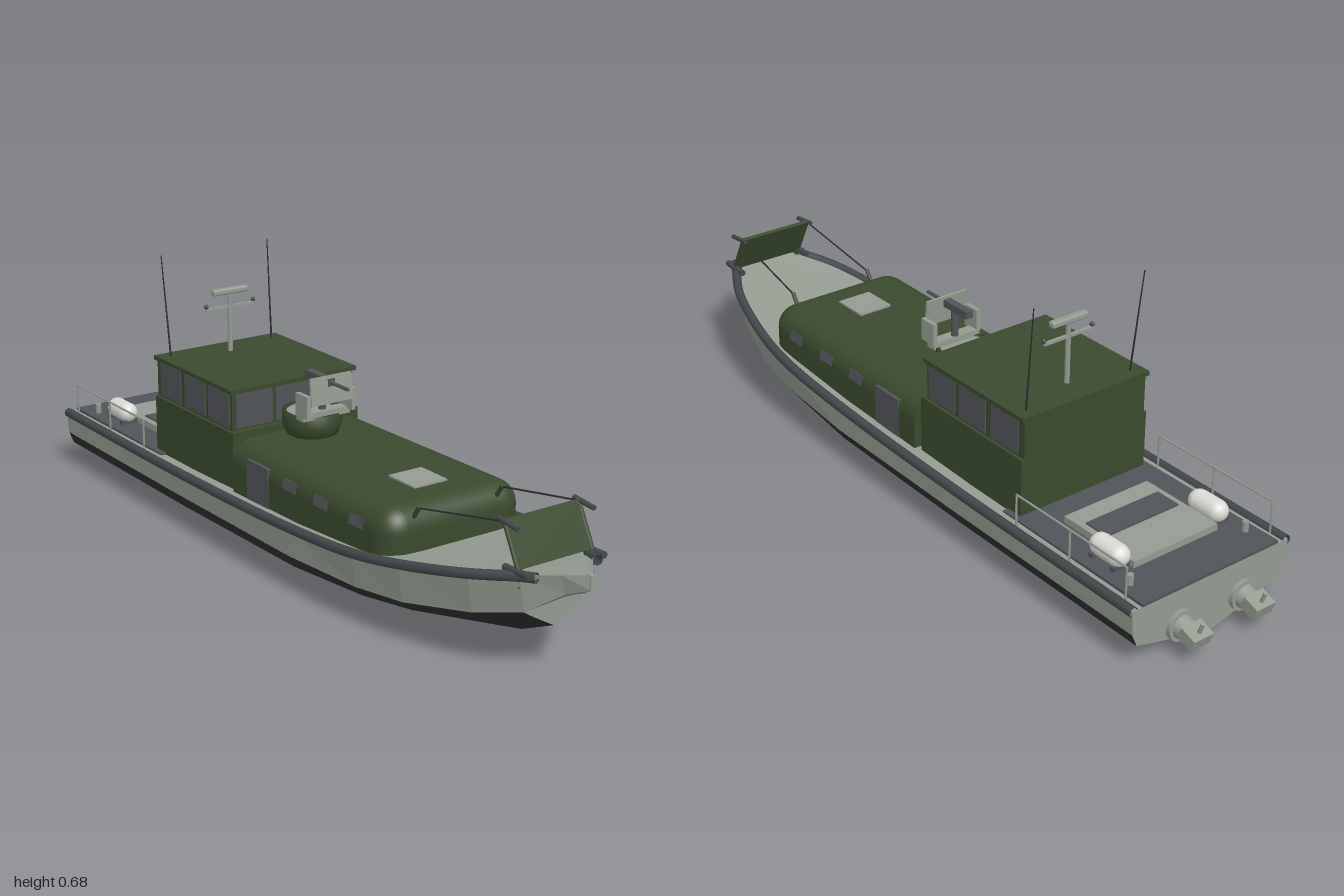
import * as THREE from 'three';
import { RoundedBoxGeometry } from 'three/addons/geometries/RoundedBoxGeometry.js';

const mat = (name, color) => new THREE.MeshStandardMaterial({ name, color, side: THREE.DoubleSide });
const V = (x, y, z) => new THREE.Vector3(x, y, z);

export function createModel() {
  const boat = new THREE.Group();
  boat.name = 'patrolBoat';
  const light = mat('light grey', 0x949b91);
  const green = mat('olive green', 0x3a4a2e);
  const dark = mat('dark grey', 0x505458);
  const rubber = mat('rubber grey', 0x44474b);
  const black = mat('bottom black', 0x2e2f30);
  const white = mat('white', 0xdcdcd8);

  const add = (name, geo, m, x = 0, y = 0, z = 0, parent = boat) => {
    const mesh = new THREE.Mesh(geo, m);
    mesh.name = name;
    mesh.position.set(x, y, z);
    parent.add(mesh);
    return mesh;
  };
  // Box given by its limits on each axis
  const box = (name, m, x0, x1, y0, y1, z0, z1) =>
    add(name, new THREE.BoxGeometry(x1 - x0, y1 - y0, z1 - z0), m, (x0 + x1) / 2, (y0 + y1) / 2, (z0 + z1) / 2);
  // Round bar between two points
  const rod = (name, m, a, b, r, r2 = r, sides = 10) => {
    const d = b.clone().sub(a);
    const mesh = add(name, new THREE.CylinderGeometry(r2, r, d.length(), sides), m);
    mesh.position.copy(a).addScaledVector(d, 0.5);
    mesh.quaternion.setFromUnitVectors(V(0, 1, 0), d.normalize());
    return mesh;
  };
  // Flat-shaded surface through rows of points
  const loft = (name, m, rows) => {
    const p = [];
    for (let i = 0; i < rows.length - 1; i++)
      for (let j = 0; j < rows[i].length - 1; j++) {
        const a = rows[i][j], b = rows[i][j + 1], c = rows[i + 1][j], d = rows[i + 1][j + 1];
        for (const v of [a, c, b, b, c, d]) p.push(v.x, v.y, v.z);
      }
    const g = new THREE.BufferGeometry();
    g.setAttribute('position', new THREE.Float32BufferAttribute(p, 3));
    g.computeVertexNormals();
    return add(name, g, m);
  };

  // Hull stations: z, sheer x, sheer y, chine x, chine y, lower x, lower y, keel y
  const stations = [
    [-0.915, 0.235, 0.155, 0.232, 0.093, 0.218, 0.06, 0.004],
    [-0.3, 0.237, 0.158, 0.232, 0.093, 0.218, 0.06, 0.002],
    [0.2, 0.235, 0.172, 0.229, 0.095, 0.213, 0.064, 0.003],
    [0.45, 0.228, 0.19, 0.215, 0.102, 0.193, 0.075, 0.015],
    [0.6, 0.208, 0.21, 0.193, 0.113, 0.165, 0.087, 0.03],
    [0.78, 0.16, 0.24, 0.142, 0.142, 0.11, 0.115, 0.066],
    [0.885, 0.105, 0.257, 0.088, 0.168, 0.06, 0.15, 0.115],
    [0.886, 0.105, 0.257, 0.088, 0.168, 0.04, 0.176, 0.18],
    [0.95, 0.045, 0.265, 0.03, 0.218, 0.015, 0.214, 0.212],
    [1, 0.004, 0.272, 0.004, 0.238, 0.002, 0.237, 0.236],
  ];
  const sheer = (s, k) => V(k * s[1], s[2], s[0]);
  const chine = (s, k) => V(k * s[3], s[4], s[0]);
  const under = (s) => [chine(s, 1), V(s[5], s[6], s[0]), V(0, s[7], s[0]), V(-s[5], s[6], s[0]), chine(s, -1)];
  loft('hullBottom', black, stations.slice(0, 7).map(under));
  loft('bowUnderside', light, stations.slice(6).map(under));
  loft('hullSideLeft', light, stations.map((s) => [sheer(s, 1), chine(s, 1)]));
  loft('hullSideRight', light, stations.map((s) => [chine(s, -1), sheer(s, -1)]));
  loft('deck', light, stations.map((s) => [sheer(s, -1), V(-s[1] * 0.5, s[2] - 0.004, s[0]), V(s[1] * 0.5, s[2] - 0.004, s[0]), sheer(s, 1)]));
  const s0 = stations[0];
  loft('transom', light, [[sheer(s0, -1), ...under(s0).reverse(), sheer(s0, 1)],
    Array(7).fill(V(0, s0[2], s0[0]))]);
  box('aftDeck', dark, -0.205, 0.205, 0.152, 0.161, -0.914, -0.44);
  box('stemPost', light, -0.006, 0.006, 0.236, 0.272, 0.985, 1);
  for (const k of [1, -1]) {
    const path = new THREE.CatmullRomCurve3([...stations.slice(0, 7).map((s) => V(k * (s[1] - 0.004), s[2] - 0.003, s[0])), V(k * 0.085, 0.258, 0.92)]);
    add('fenderRail', new THREE.TubeGeometry(path, 60, 0.0125, 8), rubber);
  }

  // Forward cabin: rounded nose, flat back
  const cab = new RoundedBoxGeometry(0.4, 0.205, 0.715, 5, 0.06);
  cab.translate(0, 0.2025, 0.1975);
  const cp = cab.attributes.position, cn = cab.attributes.normal;
  for (let i = 0; i < cp.count; i++) {
    if (cp.getZ(i) < -0.09) {
      cp.setZ(i, -0.09);
      if (cn.getZ(i) < -0.01) cn.setXYZ(i, 0, 0, -1);
    }
    if (cp.getY(i) > 0.2) cp.setY(i, cp.getY(i) - 0.01 * (0.5 - cp.getZ(i)) / 0.6);
  }
  add('forwardCabin', cab, green);
  box('roofHatch', light, -0.048, 0.048, 0.299, 0.308, 0.35, 0.45);
  for (const k of [1, -1]) {
    box('cabinDoor', dark, k * 0.197 - 0.0048, k * 0.197 + 0.0048, 0.165, 0.268, -0.025, 0.07);
    for (const z of [0.43, 0.29, 0.16]) {
      const w = add('cabinWindow', new THREE.BoxGeometry(0.008, 0.026, 0.055), dark, k * 0.1955, 0.252, z);
      w.rotation.z = k * 0.2;
    }
  }

  // Wheelhouse
  box('wheelhouseBase', green, -0.19, 0.19, 0.15, 0.308, -0.485, -0.105);
  box('wheelhouseTop', green, -0.182, 0.182, 0.308, 0.408, -0.485, -0.12);
  box('wheelhouseRoof', green, -0.19, 0.19, 0.406, 0.417, -0.49, -0.112);
  for (const k of [1, -1])
    for (const z of [-0.18, -0.295, -0.415])
      box('sideWindow', dark, k * 0.182 - 0.003, k * 0.182 + 0.003, 0.314, 0.402, z - 0.05, z + 0.05);
  for (const x of [-0.117, 0, 0.117])
    box('windscreen', dark, x - 0.054, x + 0.054, 0.314, 0.402, -0.123, -0.117);

  // Gun ring, mount and shield
  const ring = [[0.05, 0.29], [0.066, 0.3], [0.075, 0.325], [0.075, 0.357], [0.064, 0.357], [0.064, 0.35]];
  add('gunRing', new THREE.LatheGeometry(ring.map((p) => new THREE.Vector2(...p)), 28), green, 0, 0, -0.035);
  add('gunRingFloor', new THREE.CylinderGeometry(0.065, 0.065, 0.006, 28), light, 0, 0.351, -0.035);
  for (const k of [1, -1]) {
    box('mountPlate', light, k * 0.067 - 0.006, k * 0.067 + 0.006, 0.365, 0.422, 0, 0.05);
  }
  box('mountArm', light, -0.07, 0.07, 0.352, 0.37, 0, 0.03);
  rod('gunPost', dark, V(0, 0.35, 0.01), V(0, 0.445, 0.01), 0.01);
  const shield = box('gunShield', light, -0.061, 0.061, 0.395, 0.465, 0.044, 0.05);
  shield.rotation.x = -0.1;
  box('gunBody', dark, -0.01, 0.01, 0.438, 0.457, -0.05, 0.05);
  rod('gunBarrel', dark, V(0, 0.447, 0.04), V(0, 0.447, 0.12), 0.0045);

  // Mast with radar bar and lamps
  rod('mast', light, V(0, 0.41, -0.415), V(0, 0.575, -0.415), 0.0065);
  add('radarBar', new RoundedBoxGeometry(0.106, 0.016, 0.02, 2, 0.005), light, 0, 0.58, -0.415);
  box('mastCrossbar', light, -0.072, 0.072, 0.534, 0.541, -0.419, -0.411);
  for (const k of [1, -1]) {
    add('mastLamp', new THREE.SphereGeometry(0.006, 10, 8), rubber, k * 0.072, 0.546, -0.415);
    rod('antenna', black, V(k * 0.157, 0.415, -0.458), V(k * 0.163, 0.682, -0.485), 0.0026, 0.0014, 6);
  }

  // Aft deck fittings
  box('engineHatch', light, -0.127, 0.127, 0.158, 0.178, -0.8, -0.565);
  box('hatchGrille', dark, -0.11, 0.11, 0.174, 0.182, -0.69, -0.62);
  for (const k of [1, -1]) {
    const raft = add('raftCanister', new THREE.CapsuleGeometry(0.027, 0.056, 5, 16), white, k * 0.15, 0.191, -0.745);
    raft.rotation.x = Math.PI / 2;
    for (const z of [-0.78, -0.71]) box('canisterCradle', dark, k * 0.15 - 0.025, k * 0.15 + 0.025, 0.158, 0.172, z - 0.006, z + 0.006);
    for (const z of [-0.505, -0.69, -0.875]) rod('railPost', light, V(k * 0.219, 0.15, z), V(k * 0.219, 0.24, z), 0.0028, 0.0028, 6);
    rod('handRail', light, V(k * 0.219, 0.24, -0.505), V(k * 0.219, 0.24, -0.875), 0.0028, 0.0028, 6);
    rod('bollard', light, V(k * 0.175, 0.155, -0.84), V(k * 0.175, 0.187, -0.84), 0.008);
  }

  // Water jets at the transom
  for (const k of [1, -1]) {
    const x = k * 0.095;
    rod('jetFlange', light, V(x, 0.065, -0.91), V(x, 0.065, -0.927), 0.038, 0.038, 18);
    rod('jetNozzle', light, V(x, 0.065, -0.92), V(x, 0.06, -0.965), 0.03, 0.022, 18);
    const bucket = add('jetBucket', new THREE.BoxGeometry(0.058, 0.032, 0.045), light, x, 0.065, -0.968);
    bucket.rotation.x = -0.35;
    rod('jetLever', light, V(x, 0.07, -0.975), V(x, 0.105, -0.988), 0.005);
    rod('jetIntake', dark, V(x, 0.045, -0.91), V(x, 0.045, -0.86), 0.025, 0.01, 14);
  }

  // Raised bow ramp, hinges and stay cables
  const ramp = add('bowRamp', new THREE.BoxGeometry(0.204, 0.112, 0.01), green, 0, 0.316, 0.855);
  ramp.rotation.x = -0.44;
  for (const k of [1, -1]) {
    rod('rampFrame', green, V(k * 0.104, 0.262, 0.885), V(k * 0.104, 0.368, 0.83), 0.006);
    rod('rampUpperPin', rubber, V(k * 0.107, 0.36, 0.88), V(k * 0.107, 0.366, 0.815), 0.006);
    rod('rampLowerPin', rubber, V(k * 0.106, 0.265, 0.92), V(k * 0.106, 0.262, 0.84), 0.008);
    rod('rampLeg', green, V(k * 0.095, 0.225, 0.88), V(k * 0.095, 0.27, 0.875), 0.007);
    rod('stayCable', black, V(k * 0.107, 0.362, 0.83), V(k * 0.12, 0.308, 0.56), 0.0022, 0.0022, 6);
    rod('stayBracket', green, V(k * 0.12, 0.272, 0.535), V(k * 0.12, 0.312, 0.562), 0.0055);
  }
  return boat;
}
